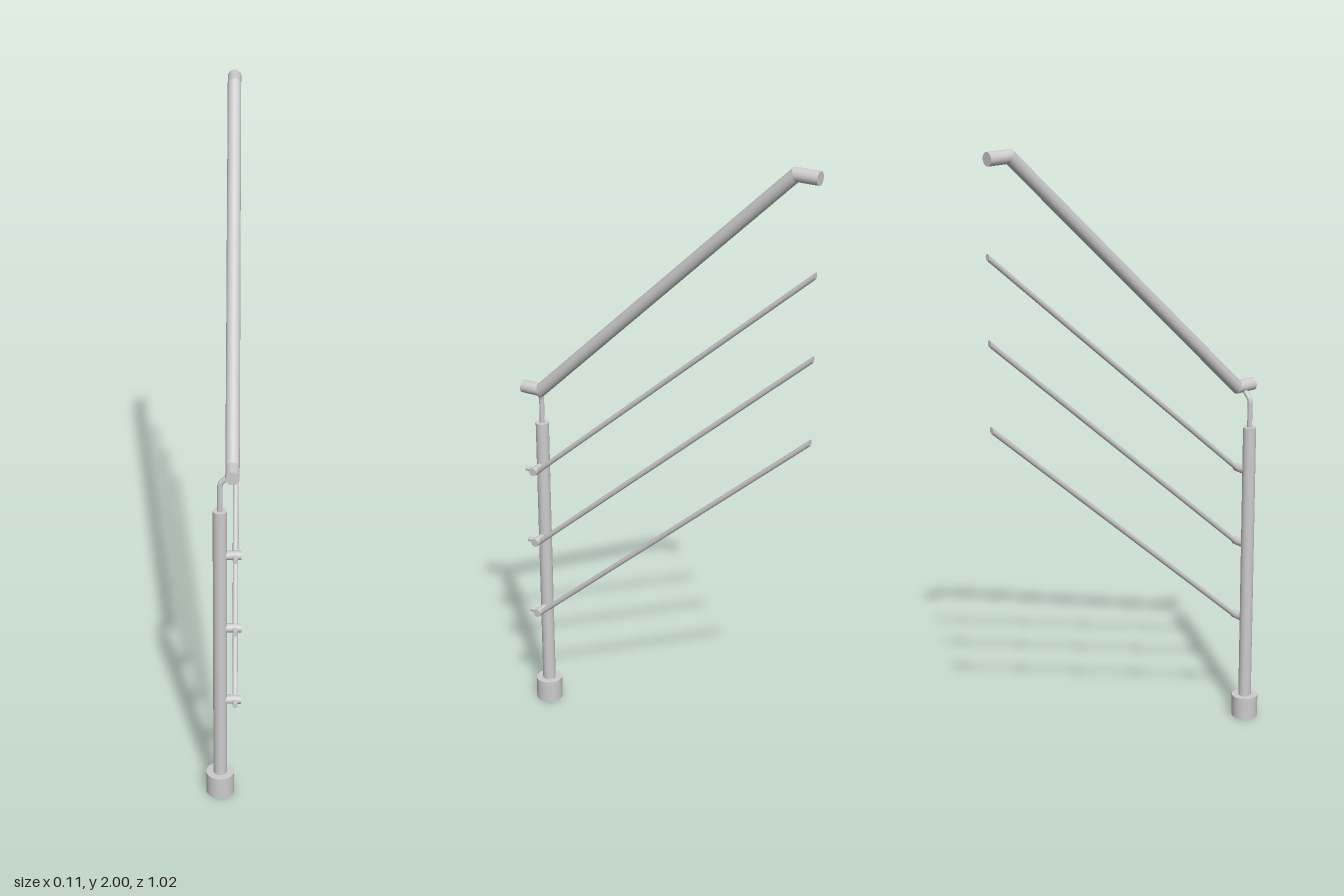
import * as THREE from 'three';

const material = new THREE.MeshStandardMaterial({ color: 0xcccccc });
const POST_X = -0.011, POST_Z = 0.466;
const v = (x, y, z) => new THREE.Vector3(x, y, z);

function add(parent, name, geometry) {
  const mesh = new THREE.Mesh(geometry, material);
  mesh.name = name;
  parent.add(mesh);
  return mesh;
}

// One straight length of round bar, its ends cut along the given plane normals
function barSegment(a, b, radius, cutA, cutB, sides) {
  const dir = b.clone().sub(a).normalize();
  const g = new THREE.CylinderGeometry(radius, radius, 1, sides);
  g.applyQuaternion(new THREE.Quaternion().setFromUnitVectors(v(0, 1, 0), dir));
  const pos = g.attributes.position, nor = g.attributes.normal;
  const p = v(0, 0, 0), n = v(0, 0, 0);
  for (let i = 0; i < pos.count; i++) {
    p.fromBufferAttribute(pos, i);
    n.fromBufferAttribute(nor, i);
    const along = p.dot(dir), atEnd = along > 0;
    const cut = atEnd ? cutB : cutA;
    p.addScaledVector(dir, -along);
    p.addScaledVector(dir, -p.dot(cut) / dir.dot(cut)).add(atEnd ? b : a);
    pos.setXYZ(i, p.x, p.y, p.z);
    if (Math.abs(n.dot(dir)) > 0.9) {
      n.copy(cut).multiplyScalar(atEnd ? 1 : -1);
      nor.setXYZ(i, n.x, n.y, n.z);
    }
  }
  return g;
}

// Mitred bar through a list of points
function bar(parent, name, points, radius, sides, endCut) {
  const group = new THREE.Group();
  group.name = name;
  const dirs = points.slice(1).map((p, i) => p.clone().sub(points[i]).normalize());
  const cuts = points.map((_, i) => {
    if (i === 0) return dirs[0];
    if (i === dirs.length) return endCut || dirs[i - 1];
    return dirs[i - 1].clone().add(dirs[i]).normalize();
  });
  dirs.forEach((_, i) => add(group, name + 'Segment',
    barSegment(points[i], points[i + 1], radius, cuts[i], cuts[i + 1], sides)));
  parent.add(group);
}

export function createModel() {
  const model = new THREE.Group();
  model.name = 'stairRailing';

  // Foot and post
  add(model, 'baseCover', new THREE.CylinderGeometry(0.043, 0.043, 0.074, 40))
    .position.set(POST_X, 0.037, POST_Z);
  add(model, 'post', new THREE.CylinderGeometry(0.021, 0.021, 1.01, 32))
    .position.set(POST_X, 0.508, POST_Z);

  // Bent pin carrying the handrail
  bar(model, 'handrailSupport', [
    v(POST_X, 1.0, POST_Z), v(POST_X, 1.096, POST_Z), v(-0.008, 1.106, POST_Z),
    v(0, 1.115, POST_Z), v(0.022, 1.134, POST_Z),
  ], 0.008, 16);

  // Handrail with level ends
  bar(model, 'handrail', [
    v(0.025, 1.143, 0.508), v(0.025, 1.143, 0.443),
    v(0.025, 1.98, -0.433), v(0.025, 1.98, -0.508),
  ], 0.0205, 32);

  // Sloping infill rods, each held by a round clamp on the post
  for (const [low, high] of [[0.347, 1.186], [0.608, 1.447], [0.862, 1.7]]) {
    bar(model, 'infillRod', [
      v(0.034, low, 0.5), v(0.034, low, 0.457), v(0.034, high, -0.508),
    ], 0.008, 16, v(0, 0, -1));
    const clamp = add(model, 'rodClamp', new THREE.CylinderGeometry(0.0135, 0.0135, 0.048, 20));
    clamp.rotation.z = Math.PI / 2;
    clamp.position.set(0.028, low, POST_Z);
  }
  return model;
}
